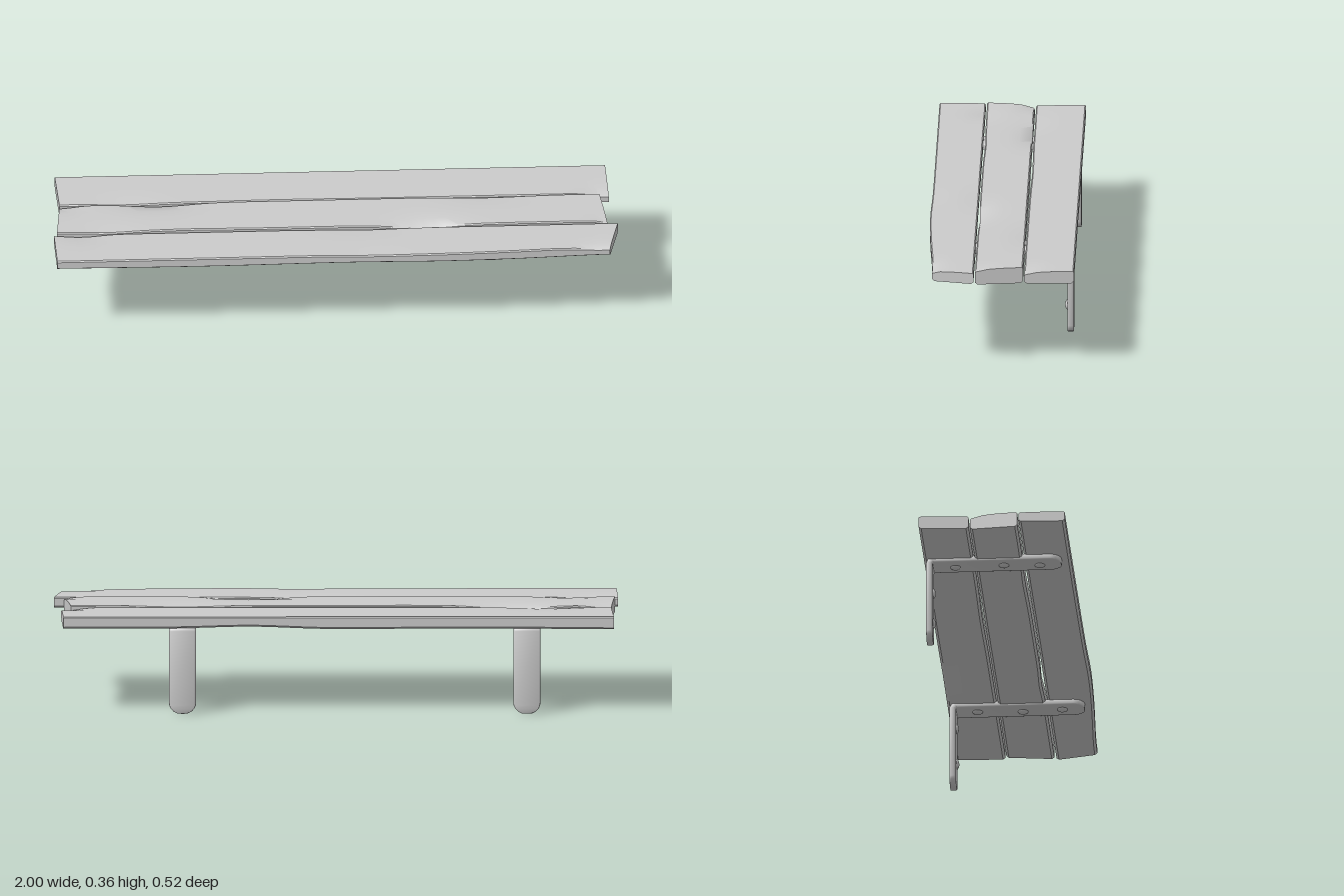
import * as THREE from 'three';
import { toCreasedNormals } from 'three/addons/utils/BufferGeometryUtils.js';

const material = new THREE.MeshStandardMaterial({ color: 0xcccccc });

// Closed skin through a row of equal-sized rings, with a fan cap at each end
function loft(rings, crease) {
  const n = rings[0].length, pos = [], idx = [];
  rings.forEach(r => r.forEach(p => pos.push(p.x, p.y, p.z)));
  for (let i = 0; i < rings.length - 1; i++) {
    for (let j = 0; j < n; j++) {
      const a = i * n + j, b = i * n + (j + 1) % n;
      idx.push(a, b, b + n, a, b + n, a + n);
    }
  }
  const last = (rings.length - 1) * n;
  for (let j = 1; j < n - 1; j++) idx.push(0, j + 1, j, last, last + j, last + j + 1);
  const g = new THREE.BufferGeometry();
  g.setAttribute('position', new THREE.Float32BufferAttribute(pos, 3));
  g.setIndex(idx);
  return toCreasedNormals(g, crease);
}

function addMesh(parent, name, geometry) {
  const m = new THREE.Mesh(geometry, material);
  m.name = name;
  parent.add(m);
  return m;
}

// Smooth worn spots along an edge; each spot is [x, width, depth]
const wear = (spots, x) =>
  spots.reduce((s, [c, w, d]) => s + d * Math.exp(-(((x - c) / w) ** 2)), 0);

// Rough board: x ends are given at the back and the front edge
function plank({ z, y, left, right, front = [], back = [], under = [], edge = [] }) {
  const [z0, z1] = z, [y0, y1] = y, c = 0.004, rings = [], N = 48;
  for (let i = 0; i <= N; i++) {
    const t = i / N, x = THREE.MathUtils.lerp(left[0], right[0], t);
    const f = wear(front, x), b = wear(back, x), u = wear(under, x);
    const zf = z1 - wear(edge, x), low = y0 + 0.002 * Math.sin(5 * x + z0 * 9);
    const zm = (z0 + z1) / 2;
    // Ring runs from the top over the front edge and back underneath
    const ring = [
      [y1 - b, z0 + c], [y1 - b * 0.25, z0 + 0.045], [y1 - (f + b) * 0.05, zm],
      [y1 - f * 0.25, z1 - 0.045], [y1 - f, zf - c], [y1 - f - c, zf],
      [low + 0.007, zf], [low, zf - 0.009], [low + u * 0.3, zm],
      [low + u, z0 + 0.009], [low + u + 0.007, z0], [y1 - b - c, z0],
    ];
    rings.push(ring.map(([py, pz]) => {
      const k = (pz - z0) / (z1 - z0);
      const l = THREE.MathUtils.lerp(left[0], left[1], k);
      const r = THREE.MathUtils.lerp(right[0], right[1], k);
      return new THREE.Vector3(THREE.MathUtils.lerp(l, r, t), py, pz);
    }));
  }
  return loft(rings, 0.6);
}

// Flat strip bent into an L, with rounded tips and softened edges
function bracketGeometry() {
  const hw = 0.048, r = 0.04, half = 0.0115, bend = 0.016;
  const zBack = -0.242, yTop = 0.3065, zTip = 0.225;
  const stations = [];
  const tip = [0, 0.2, 0.4, 0.65, 0.85, 1].map(k => k * Math.PI / 2);
  const at = (a, full) => ({
    s: r * (1 - Math.cos(a)), w: hw - r + r * Math.sin(a), h: full ? half : half * 0.65,
  });
  tip.forEach((a, i) => {
    const { s, w, h } = at(a, i > 0);
    stations.push({ y: s, z: zBack, a: 0, w, h });
  });
  for (let i = 0; i <= 6; i++) {
    const a = i / 6 * Math.PI / 2;
    stations.push({
      y: yTop - bend + bend * Math.sin(a), z: zBack + bend - bend * Math.cos(a), a, w: hw, h: half,
    });
  }
  [...tip].reverse().forEach((a, i) => {
    const { s, w, h } = at(a, i < tip.length - 1);
    stations.push({ y: yTop, z: zTip - s, a: Math.PI / 2, w, h });
  });
  const rings = stations.map(({ y, z, a, w, h }) => {
    const b = 0.005;
    const section = [
      [h, -w + b], [h, w - b], [h - b * 0.3, w - b * 0.3], [h - b, w],
      [-h + b, w], [-h + b * 0.3, w - b * 0.3], [-h, w - b], [-h, -w + b],
      [-h + b * 0.3, -w + b * 0.3], [-h + b, -w], [h - b, -w], [h - b * 0.3, -w + b * 0.3],
    ];
    return section.map(([n, x]) =>
      new THREE.Vector3(x, y - n * Math.sin(a), z + n * Math.cos(a)));
  });
  return loft(rings, 0.9);
}

export function createModel() {
  const model = new THREE.Group();
  model.name = 'wallShelf';

  // Three weathered boards
  const boards = new THREE.Group();
  boards.name = 'boards';
  model.add(boards);
  addMesh(boards, 'backPlank', plank({
    z: [-0.262, -0.086], y: [0.307, 0.352], left: [-0.982, -0.972], right: [0.967, 0.974],
    front: [[-0.75, 0.12, 0.006], [0.95, 0.06, 0.012]],
    under: [[0.3, 0.2, 0.01]], edge: [[-0.2, 0.2, 0.003]],
  }));
  addMesh(boards, 'middlePlank', plank({
    z: [-0.081, 0.088], y: [0.301, 0.357], left: [-0.972, -0.987], right: [0.94, 0.963],
    front: [[0.3, 0.13, 0.016], [-0.8, 0.1, 0.006], [0.96, 0.05, 0.012]],
    back: [[-0.62, 0.14, 0.014], [-0.98, 0.08, 0.014], [0.55, 0.15, 0.006]],
    edge: [[-0.5, 0.15, 0.004], [0.35, 0.1, 0.004]],
  }));
  addMesh(boards, 'frontPlank', plank({
    z: [0.093, 0.257], y: [0.314, 0.352], left: [-0.998, -0.992], right: [1.0, 0.962],
    front: [[0.98, 0.1, 0.01], [0.15, 0.12, 0.003]],
    back: [[-0.9, 0.08, 0.01], [0.1, 0.15, 0.005]],
    edge: [[1.0, 0.3, 0.017], [0.35, 0.2, -0.004]],
  }));

  // Two metal brackets with domed screw heads
  const strip = bracketGeometry();
  const dome = new THREE.SphereGeometry(0.019, 16, 6, 0, Math.PI * 2, 0, Math.PI / 2);
  dome.scale(1, 0.55, 1);
  const brackets = [
    { name: 'rightBracket', x: -0.674, wall: [[0.004, 0.195], [-0.003, 0.075]],
      shelf: [[0.004, 0.147], [-0.004, 0.02], [0.003, -0.152]] },
    { name: 'leftBracket', x: 0.545, wall: [[-0.01, 0.228], [0.013, 0.1]],
      shelf: [[-0.005, 0.145], [0.005, 0.005], [-0.003, -0.156]] },
  ];
  for (const { name, x, wall, shelf } of brackets) {
    const bracket = new THREE.Group();
    bracket.name = name;
    bracket.position.x = x;
    addMesh(bracket, 'bentStrip', strip);
    for (const [sx, sy] of wall) {
      const s = addMesh(bracket, 'wallScrew', dome);
      s.position.set(sx, sy, -0.2325);
      s.rotation.x = Math.PI / 2;
    }
    for (const [sx, sz] of shelf) {
      const s = addMesh(bracket, 'shelfScrew', dome);
      s.position.set(sx, 0.297, sz);
      s.rotation.x = Math.PI;
    }
    model.add(bracket);
  }
  return model;
}
